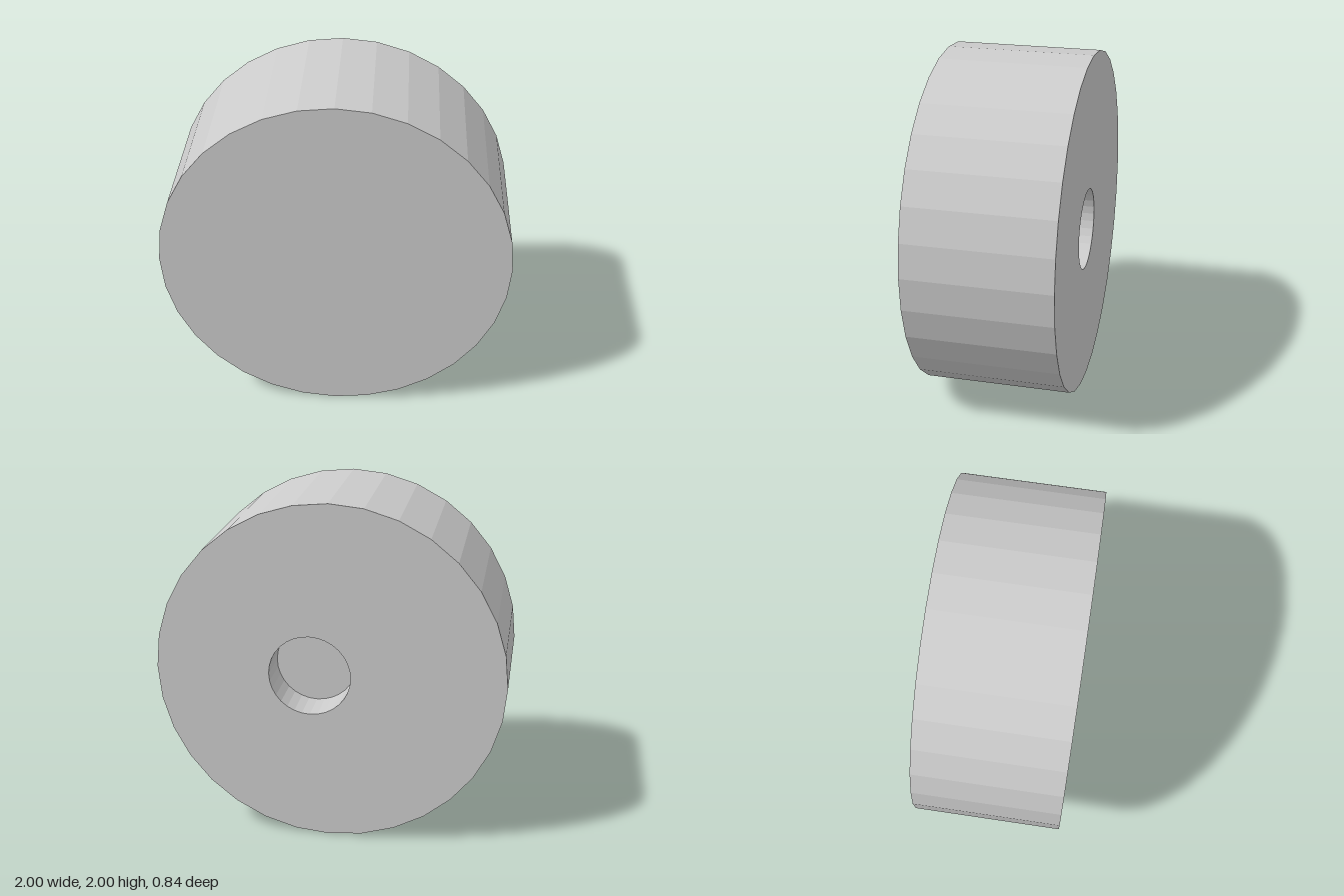
import * as THREE from 'three';

const SIDES = 32;
const RADIUS = 1;
const HALF_DEPTH = 0.42;
const HOLE_RADIUS = 0.235;
const HOLE_DEPTH = 0.22;
const HOLE_X = 0.11; // the hole sits slightly off the axis

const material = new THREE.MeshStandardMaterial({ color: 0xcccccc, flatShading: true });

const v = (x, y) => new THREE.Vector2(x, y);

// Regular polygon with corners on the axes
function polygon(radius, cx = 0) {
  return Array.from({ length: SIDES }, (_, i) => {
    const a = (i / SIDES) * Math.PI * 2;
    return v(cx + radius * Math.cos(a), radius * Math.sin(a));
  });
}

function addPart(group, name, geometry) {
  const mesh = new THREE.Mesh(geometry, material);
  mesh.name = name;
  group.add(mesh);
  return mesh;
}

export function createModel() {
  const model = new THREE.Group();
  model.name = 'wheel';

  const body = new THREE.Group();
  body.name = 'body';
  body.position.y = RADIUS;
  model.add(body);

  // Tread and closed front face
  const shell = new THREE.LatheGeometry(
    [v(RADIUS, -HALF_DEPTH), v(RADIUS, HALF_DEPTH), v(0, HALF_DEPTH)], SIDES);
  addPart(body, 'treadAndFrontFace', shell.rotateX(Math.PI / 2));

  // Back face with the axle opening, turned to look along -z
  const disc = new THREE.Shape(polygon(RADIUS));
  disc.holes.push(new THREE.Path(polygon(HOLE_RADIUS, -HOLE_X)));
  const back = new THREE.ShapeGeometry(disc).rotateY(Math.PI);
  addPart(body, 'backFace', back).position.z = -HALF_DEPTH;

  // Blind axle hole: inward-facing wall and floor
  const floor = HALF_DEPTH - HOLE_DEPTH;
  const socket = new THREE.LatheGeometry(
    [v(HOLE_RADIUS, HALF_DEPTH), v(HOLE_RADIUS, floor), v(0, floor)], SIDES);
  addPart(body, 'axleHole', socket.rotateX(-Math.PI / 2)).position.x = HOLE_X;

  return model;
}
